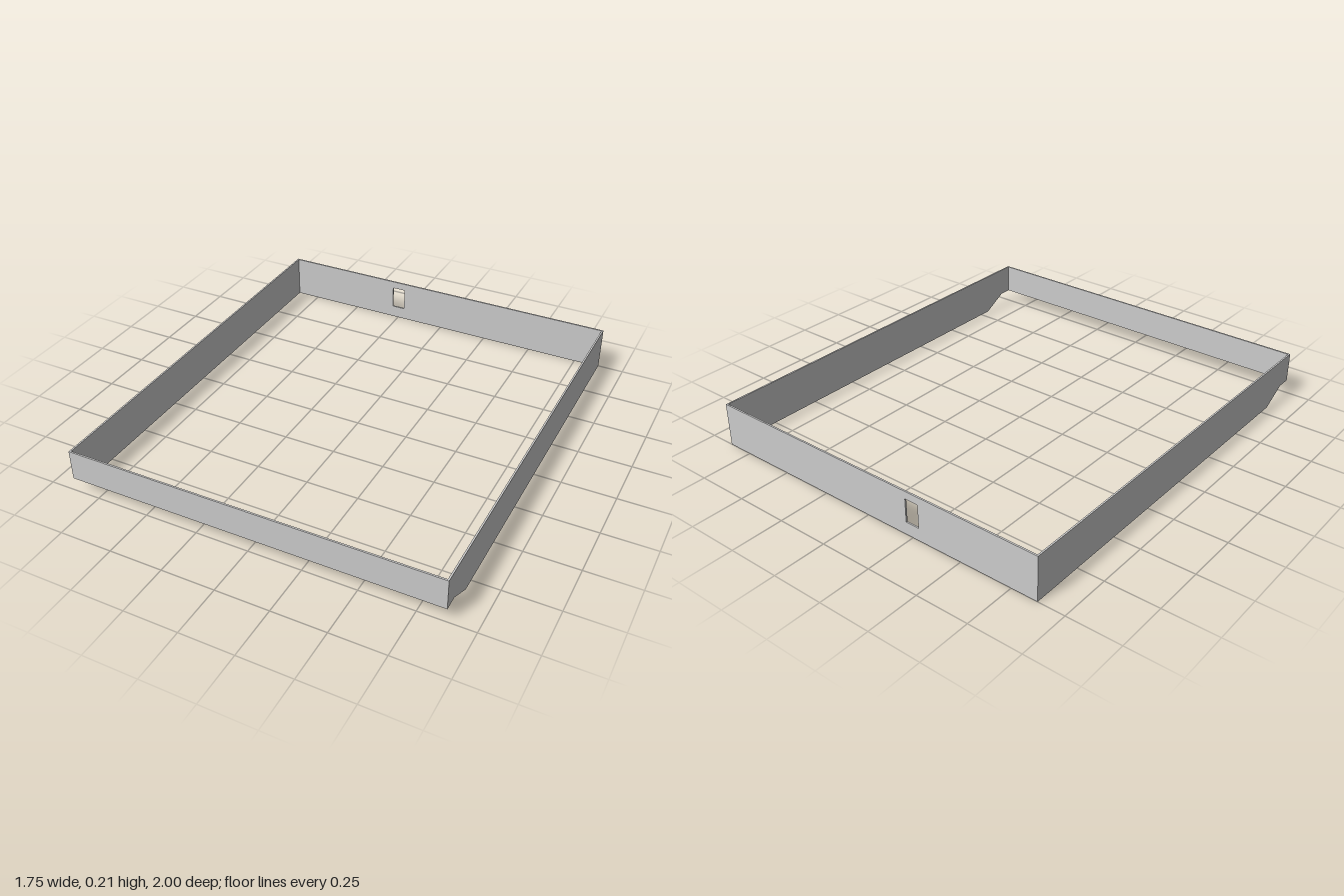
import * as THREE from 'three';

const W = 0.875, D = 1, H = 0.21, T = 0.008; // half width, half depth, height, wall thickness
const LIP = 0.066;                           // raised underside at the front

const material = new THREE.MeshStandardMaterial({ color: 0xcccccc, flatShading: true });

function outline(points) {
  return points.map(([x, y]) => new THREE.Vector2(x, y));
}

function panel(name, shape) {
  const geometry = new THREE.ExtrudeGeometry(shape, { depth: T, bevelEnabled: false });
  const mesh = new THREE.Mesh(geometry, material);
  mesh.name = name;
  return mesh;
}

export function createModel() {
  const group = new THREE.Group();
  group.name = 'rectangularFrame';

  // Side walls, with the lower front corner cut away by a slope
  const side = new THREE.Shape(outline([
    [-D, 0], [0.807, 0], [0.93, LIP], [D, LIP], [D, H], [-D, H],
  ]));
  for (const [name, x] of [['leftWall', W], ['rightWall', -W + T]]) {
    const wall = panel(name, side);
    wall.rotation.y = -Math.PI / 2;
    wall.position.x = x;
    group.add(wall);
  }

  // Shallow front wall between the sides
  const inner = W - T;
  const front = panel('frontWall', new THREE.Shape(outline([
    [-inner, LIP], [inner, LIP], [inner, H], [-inner, H],
  ])));
  front.position.z = D - T;
  group.add(front);

  // Full-height back wall with a small rectangular opening
  const backShape = new THREE.Shape(outline([
    [-inner, 0], [inner, 0], [inner, H], [-inner, H],
  ]));
  backShape.holes.push(new THREE.Path(outline([
    [-0.283, 0.061], [-0.283, 0.173], [-0.216, 0.173], [-0.216, 0.061],
  ])));
  const back = panel('backWall', backShape);
  back.position.z = -D;
  group.add(back);

  return group;
}
